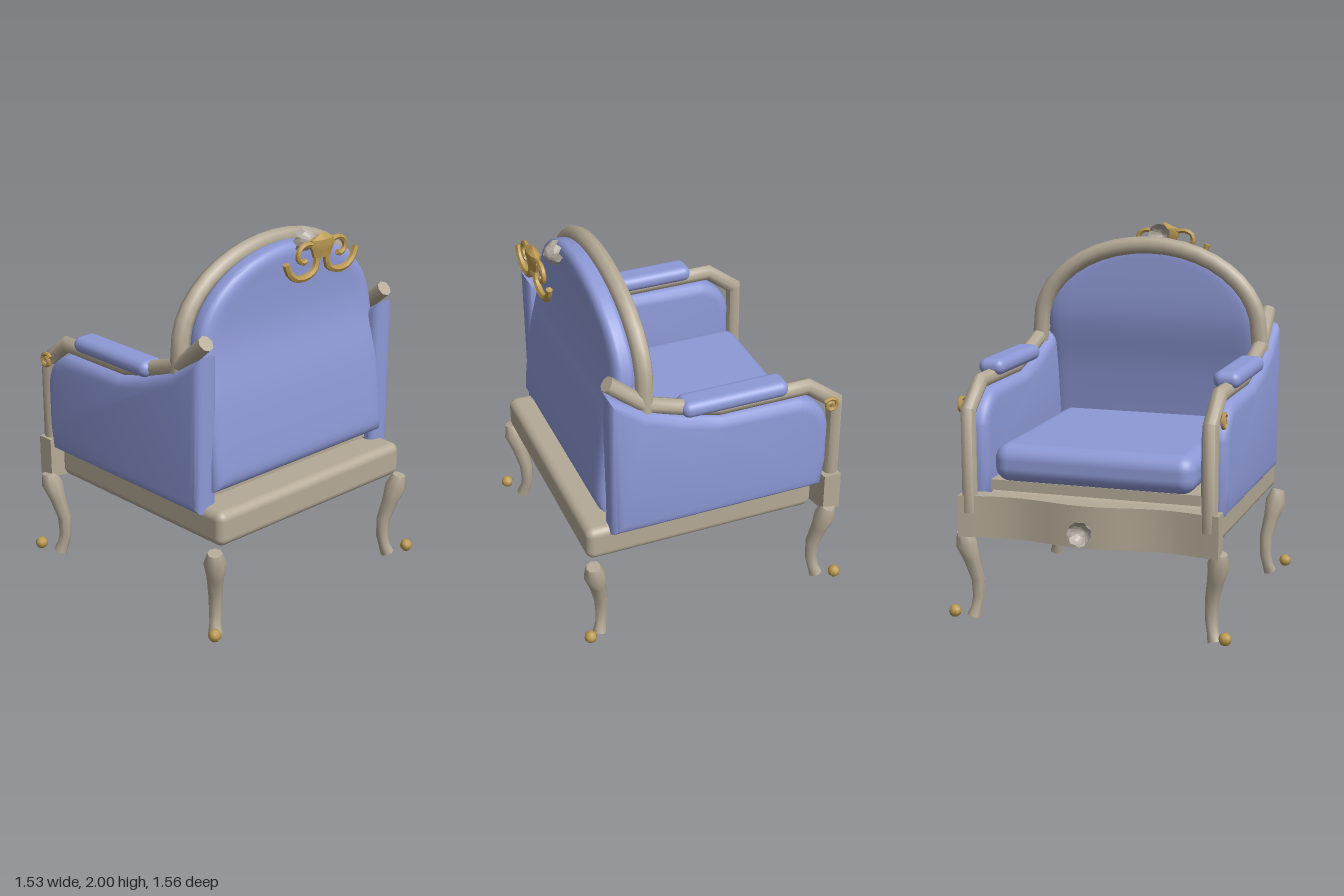
import * as THREE from 'three';
import { toCreasedNormals } from 'three/addons/utils/BufferGeometryUtils.js';
import { RoundedBoxGeometry } from 'three/addons/geometries/RoundedBoxGeometry.js';

const V = (x, y, z) => new THREE.Vector3(x, y, z);

// Mitred sweep along a path lying in the plane with normal n; radius may vary per point
function sweep(pts, radius, n, sides = 8) {
  const pos = [], rings = [];
  n = n.clone().normalize();
  pts.forEach((p, i) => {
    const a = i > 0 ? p.clone().sub(pts[i - 1]).normalize() : null;
    const b = i < pts.length - 1 ? pts[i + 1].clone().sub(p).normalize() : null;
    const t = (a && b ? a.clone().add(b) : (a || b).clone()).normalize();
    const mitre = 1 / Math.max(0.6, t.dot(a || b));
    const v = t.clone().cross(n).normalize();
    const r = Array.isArray(radius) ? radius[i] : radius;
    const ring = [];
    for (let j = 0; j <= sides; j++) {
      const ang = (j / sides) * Math.PI * 2;
      ring.push(p.clone().addScaledVector(n, r * Math.cos(ang))
        .addScaledVector(v, r * mitre * Math.sin(ang)));
    }
    rings.push(ring);
  });
  const tri = (...vs) => vs.forEach((q) => pos.push(q.x, q.y, q.z));
  const last = rings.length - 1;
  for (let j = 0; j < sides; j++) {
    for (let i = 0; i < last; i++) {
      const A = rings[i], B = rings[i + 1];
      tri(A[j], A[j + 1], B[j]);
      tri(A[j + 1], B[j + 1], B[j]);
    }
    tri(pts[0], rings[0][j + 1], rings[0][j]);
    tri(pts[last], rings[last][j], rings[last][j + 1]);
  }
  const g = new THREE.BufferGeometry();
  g.setAttribute('position', new THREE.Float32BufferAttribute(pos, 3));
  return toCreasedNormals(g, 0.95);
}

// Arched back pad: a box grid mapped to an arch, thinned at the rim and bent in profile
function archedPad() {
  const W = 0.615, bottom = 0.755, spring = 1.45, rise = 0.45, rim = 0.07;
  const profile = new THREE.CatmullRomCurve3([V(0, 0.755, 0.582), V(0, 0.83, 0.584),
    V(0, 1.2, 0.537), V(0, 1.5, 0.478), V(0, 1.9, 0.485)]).getPoints(60);
  const midZ = (y) => {
    const k = Math.max(1, profile.findIndex((p) => p.y >= y - 1e-6));
    const a = profile[k - 1], b = profile[k];
    return a.z + ((b.z - a.z) * (y - a.y)) / (b.y - a.y);
  };
  const g = new THREE.BoxGeometry(2, 1, 2, 24, 36, 1);
  const p = g.attributes.position;
  for (let i = 0; i < p.count; i++) {
    const v = p.getY(i) + 0.5;
    const a = Math.max(0, (v - 0.5) * Math.PI);
    const lower = Math.min(1, v * 2);
    const y = v < 0.5 ? bottom + (spring - bottom) * (1 - Math.cos(lower * Math.PI / 2))
      : spring + rise * Math.sin(a);
    const w = v < 0.5 ? W : W * Math.cos(a);
    const x = w * Math.sin((p.getX(i) * Math.PI) / 2);
    const d = v < 0.5 ? Math.min(W - Math.abs(x), y - bottom)
      : (1 - Math.hypot(x / W, (y - spring) / rise)) * 0.53;
    const e = 1 - Math.min(1, Math.max(0, d) / rim);
    const half = 0.02 + 0.04 * Math.sqrt(1 - e * e);
    p.setXYZ(i, x, y, midZ(y) + p.getZ(i) * half);
  }
  return toCreasedNormals(g, 0.9);
}

export function createModel() {
  const model = new THREE.Group();
  const mat = (name, color, side = THREE.FrontSide) => {
    const m = new THREE.MeshStandardMaterial({ color, side });
    m.name = name;
    return m;
  };
  const fabric = mat('blue fabric', 0x8e99d6);
  const wood = mat('pale wood', 0xb5aa97);
  const gold = mat('gold', 0xba9850);
  const shellMat = mat('shell carving', 0xb3aba2, THREE.DoubleSide);
  const add = (name, geo, material, x = 0, y = 0, z = 0) => {
    const m = new THREE.Mesh(geo, material);
    m.name = name;
    m.position.set(x, y, z);
    model.add(m);
  };

  // Seat base, inner platform and cushion
  add('seatBase', new RoundedBoxGeometry(1.34, 0.185, 1.265, 4, 0.045), wood, 0, 0.5975, 0.092);
  add('seatPlatform', new THREE.BoxGeometry(1.13, 0.055, 1.1), wood, 0, 0.727, 0);
  add('seatCushion', new RoundedBoxGeometry(1.08, 0.2, 1.11, 5, 0.08), fabric, 0, 0.85, -0.045);

  // Serpentine apron, curved in plan
  const wave = (x) => -(0.675 + 0.025 * Math.cos((Math.PI * x) / 0.4));
  const xs = Array.from({ length: 29 }, (_, i) => -0.695 + (1.39 * i) / 28);
  const outer = xs.map((x) => new THREE.Vector2(x, wave(x)));
  const inner = xs.map((x) => new THREE.Vector2(x, wave(x) + 0.095)).reverse();
  const apron = new THREE.ExtrudeGeometry(new THREE.Shape([...outer, ...inner]),
    { depth: 0.22, bevelEnabled: false });
  apron.rotateX(Math.PI / 2);
  add('apron', toCreasedNormals(apron, 0.6), wood, 0, 0.692, 0);

  add('backCushion', archedPad(), fabric);

  // Arched rail around the back
  const archPts = [V(0.64, 1.34, 0.397)];
  for (let i = 0; i <= 20; i++) {
    const a = (Math.PI * i) / 20, s = Math.sin(a);
    archPts.push(V(0.63 * Math.cos(a), 1.45 + 0.45 * s, 0.395 - 0.03 * s * (1 - s) + 0.008 * s));
  }
  archPts.push(V(-0.64, 1.34, 0.397));
  add('backRail', sweep(archPts, 0.047, V(0, 0, 1)), wood);

  // Side panel: outline in z, y extruded across x with a soft rim
  const side = new THREE.Shape();
  side.moveTo(0.6, 0.65);
  side.lineTo(0.6, 1.475);
  side.lineTo(0.4, 1.35);
  side.lineTo(0.2, 1.275);
  side.lineTo(0, 1.225);
  side.lineTo(-0.43, 1.22);
  side.quadraticCurveTo(-0.57, 1.18, -0.597, 1.04);
  side.lineTo(-0.597, 0.8);
  side.lineTo(-0.575, 0.65);
  side.closePath();
  const rawPanel = new THREE.ExtrudeGeometry(side, {
    depth: 0.055, bevelEnabled: true, bevelThickness: 0.045, bevelSize: 0.055,
    bevelOffset: -0.055, bevelSegments: 3, curveSegments: 12,
  });
  rawPanel.translate(0, 0, -0.0275).rotateY(-Math.PI / 2);
  const panel = toCreasedNormals(rawPanel, 0.9);

  for (const s of [1, -1]) {
    const tag = s > 0 ? 'left' : 'right';
    add(tag + 'SidePanel', panel, fabric, s * 0.638);

    // Arm rail with its upright post
    const rail = [[-0.652, 0.6], [-0.652, 1.135], [-0.49, 1.26], [-0.3, 1.26], [0, 1.26],
      [0.2, 1.31], [0.4, 1.375], [0.59, 1.54]].map(([z, y]) => V(s * 0.64, y, z));
    add(tag + 'ArmRail', sweep(rail, 0.042, V(1, 0, 0)), wood);
    add(tag + 'ArmPad', new RoundedBoxGeometry(0.145, 0.086, 0.575, 4, 0.041), fabric,
      s * 0.638, 1.308, -0.075);

    // Spiral boss on the arm
    const spiral = [];
    for (let i = 0; i <= 18; i++) {
      const a = 0.6 + i * 0.5, r = 0.043 - i * 0.0019;
      spiral.push(V(s * 0.695, 1.15 + r * Math.sin(a), -0.605 + r * Math.cos(a)));
    }
    add(tag + 'ArmScroll', sweep(spiral, 0.011, V(1, 0, 0), 6), gold);

    // Cabriole legs turned out diagonally, each with a ball
    for (const [end, dir, offset] of [['rear', 1, 0.015], ['front', -1, -0.06]]) {
      const at = (x, y) => V(s * x, y, dir * (x + offset));
      const leg = [[0.69, 0.488], [0.68, 0.425], [0.66, 0.335], [0.636, 0.22], [0.634, 0.12],
        [0.644, 0.06], [0.657, 0.012]].map(([x, y]) => at(x, y));
      const name = (s > 0 ? 'Left' : 'Right');
      add(end + name + 'Leg', sweep(leg, [0.038, 0.059, 0.044, 0.037, 0.033, 0.031, 0.037],
        V(-dir * s, 0, 1)), wood);
      const b = at(0.73, 0.06);
      add(end + name + 'FootBall', new THREE.SphereGeometry(0.034, 8, 6), gold, b.x, b.y, b.z);
    }

    // Crest scrolls
    const curl = (list) => new THREE.CatmullRomCurve3(
      list.map(([x, y]) => V(s * x, y, 0.73))).getPoints(10);
    add(tag + 'CrestOuterScroll', sweep(curl([[0.03, 1.89], [0.045, 1.82], [0.1, 1.79],
      [0.175, 1.792], [0.225, 1.83], [0.247, 1.88]]), 0.018, V(0, 0, 1), 6), gold);
    add(tag + 'CrestInnerScroll', sweep(curl([[0.06, 1.945], [0.115, 1.953], [0.155, 1.933],
      [0.163, 1.89], [0.13, 1.865], [0.11, 1.875]]), 0.014, V(0, 0, 1), 6), gold);
  }

  // Crest centre, flattened from a turned shape
  const crest = new THREE.LatheGeometry([[0, -0.06], [0.06, -0.055], [0.072, -0.02], [0.085, 0],
    [0.08, 0.035], [0.035, 0.05], [0, 0.07]].map(([x, y]) => new THREE.Vector2(x, y)), 10);
  crest.scale(1, 1, 0.36);
  add('crestCentre', toCreasedNormals(crest, 0.5), gold, 0, 1.93, 0.73);

  // Ragged shell carvings opening along -z
  const profile = [[0.006, 0], [0.03, 0.012], [0.052, 0.04], [0.064, 0.08]];
  const shell = new THREE.LatheGeometry(profile.map(([x, y]) => new THREE.Vector2(x, y)), 16);
  const sp = shell.attributes.position;
  for (let i = 0; i < sp.count; i++) {
    const seg = Math.floor(i / profile.length), row = i % profile.length;
    if (row === 3 && seg % 2) sp.setY(i, 0.06);
  }
  shell.rotateX(-Math.PI / 2);
  const carved = toCreasedNormals(shell, 0.3);
  add('crestShell', carved, shellMat, 0, 1.935, 0.675);
  add('apronShell', carved, shellMat, 0, 0.565, -0.705);

  return model;
}
